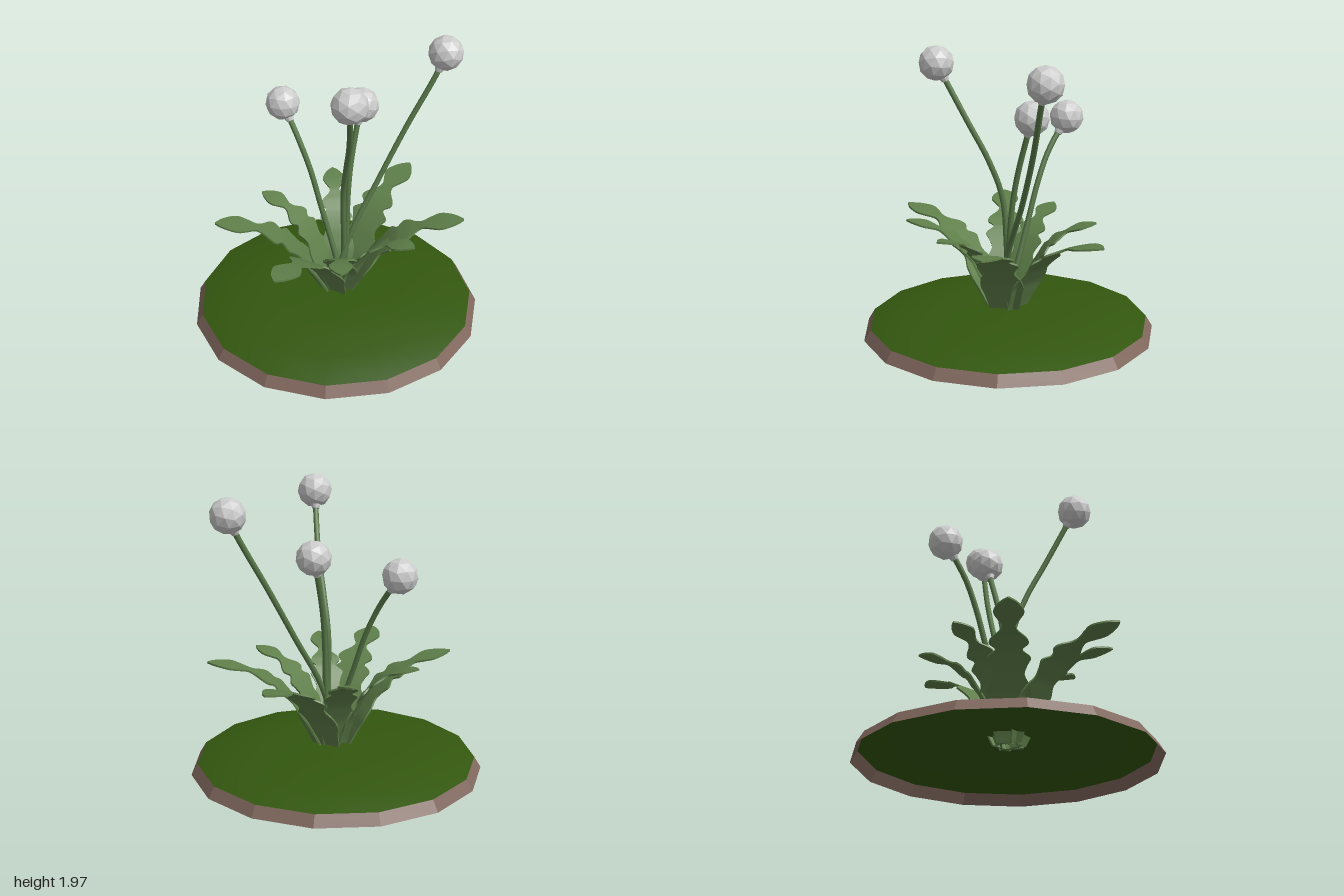
import * as THREE from 'three';

const mat = (color, extra = {}) => new THREE.MeshStandardMaterial({ color, ...extra });
const V3 = (p) => new THREE.Vector3(...p);

export function createModel() {
  const model = new THREE.Group();
  const add = (name, geometry, material, parent = model) => {
    const mesh = new THREE.Mesh(geometry, material);
    mesh.name = name;
    parent.add(mesh);
    return mesh;
  };

  // Fifteen-sided ground mound, open underneath
  const ring = (points) => new THREE.LatheGeometry(points.map(([r, y]) => new THREE.Vector2(r, y)), 15, Math.PI);
  const soil = mat(0x82695f, { flatShading: true, side: THREE.DoubleSide });
  const grass = mat(0x33570f, { side: THREE.DoubleSide });
  add('soilRim', ring([[1, 0], [0.955, 0.075]]), soil).position.z = 0.01;
  add('grassMound', ring([[0.955, 0.075], [0.77, 0.135], [0.44, 0.177], [0, 0.187]]), grass).position.z = 0.01;

  // Leaf: a thin box bent along an arc and shaped by a lobed width.
  // Arc rows: distance from the middle, height. Width rows: height-matched half width.
  const rows = [
    [0.07, 0.12, 0.08], [0.1, 0.2, 0.105], [0.15, 0.3, 0.125], [0.185, 0.37, 0.145],
    [0.235, 0.44, 0.135], [0.28, 0.5, 0.1], [0.325, 0.55, 0.12], [0.36, 0.585, 0.14],
    [0.4, 0.62, 0.085], [0.44, 0.645, 0.125], [0.48, 0.668, 0.11], [0.53, 0.69, 0.06],
    [0.575, 0.71, 0.042], [0.63, 0.727, 0.07], [0.69, 0.742, 0.095], [0.75, 0.753, 0.08],
    [0.81, 0.761, 0.045], [0.85, 0.765, 0.004],
  ];
  const leafGeometry = (reach, width) => {
    const arc = new THREE.CatmullRomCurve3(rows.map(([r, y]) => new THREE.Vector3(0, y, r * reach)));
    const widths = new THREE.CatmullRomCurve3(rows.map((row, i) => new THREE.Vector3(row[2] * width, i, 0)));
    const geometry = new THREE.BoxGeometry(2, 1, 1, 2, 1, 54);
    const pos = geometry.attributes.position;
    for (let i = 0; i < pos.count; i++) {
      const t = pos.getZ(i) + 0.5;
      const p = arc.getPoint(t);
      const d = arc.getTangent(t);
      const half = Math.max(widths.getPoint(t).x, 0.004);
      const lift = pos.getY(i) * 0.012;
      pos.setXYZ(i, pos.getX(i) * half, p.y + d.z * lift, p.z - d.y * lift);
    }
    geometry.computeVertexNormals();
    return geometry;
  };
  const leafMat = mat(0x5f7f4a);
  const leaves = new THREE.Group();
  leaves.name = 'leaves';
  leaves.position.x = 0.02;
  model.add(leaves);
  const tips = [
    [-0.01, -0.84], [0.71, -0.49], [0.65, -0.01], [0.47, 0.52],
    [0.19, 0.84], [-0.55, 0.62], [-0.57, 0.13], [-0.4, -0.43],
  ];
  tips.forEach(([x, z]) => {
    const length = Math.hypot(x - 0.02, z);
    const leaf = add('leaf', leafGeometry(length / 0.85, length > 0.75 ? 1 : 0.8), leafMat, leaves);
    leaf.rotation.y = Math.atan2(x - 0.02, z);
  });

  // Flowers: curved stem, small collar and faceted head (last point is the head centre)
  const stemMat = mat(0x587848);
  const headMat = mat(0xcccccc, { flatShading: true });
  const flowers = [
    [[0.04, 0.14, -0.03], [0.045, 0.6, -0.02], [0.06, 0.95, 0.005], [0.13, 1.2, 0.06], [0.23, 1.46, 0.15], [0.36, 1.85, 0.31]],
    [[0.02, 0.14, 0.08], [0.07, 0.6, -0.07], [0.14, 0.95, -0.26], [0.23, 1.33, -0.45], [0.34, 1.71, -0.63], [0.36, 1.83, -0.68]],
    [[0.05, 0.14, -0.01], [0.05, 0.6, -0.045], [0.04, 0.9, -0.07], [0.03, 1.12, -0.11], [0.02, 1.41, -0.195], [0.02, 1.515, -0.23]],
    [[0.05, 0.14, -0.01], [-0.04, 0.42, -0.02], [-0.16, 0.75, -0.02], [-0.25, 1.0, -0.02], [-0.35, 1.2, -0.02], [-0.51, 1.425, -0.04]],
  ];
  const headRadius = 0.118;
  flowers.forEach((points) => {
    const flower = new THREE.Group();
    flower.name = 'flower';
    model.add(flower);
    const path = new THREE.CatmullRomCurve3(points.map(V3));
    const steps = 24, sides = 8;
    const stem = new THREE.TubeGeometry(path, steps, 0.019, sides);
    add('stem', stem, stemMat, flower);

    const centre = V3(points[points.length - 1]);
    const dir = path.getTangent(1);
    const collar = add('collar', new THREE.CylinderGeometry(0.035, 0.024, 0.03, 10), headMat, flower);
    collar.position.copy(centre).addScaledVector(dir, -headRadius);
    collar.quaternion.setFromUnitVectors(new THREE.Vector3(0, 1, 0), dir);

    const head = add('flowerHead', new THREE.IcosahedronGeometry(headRadius, 1), headMat, flower);
    head.position.copy(centre);
    head.quaternion.copy(collar.quaternion);
  });

  return model;
}
